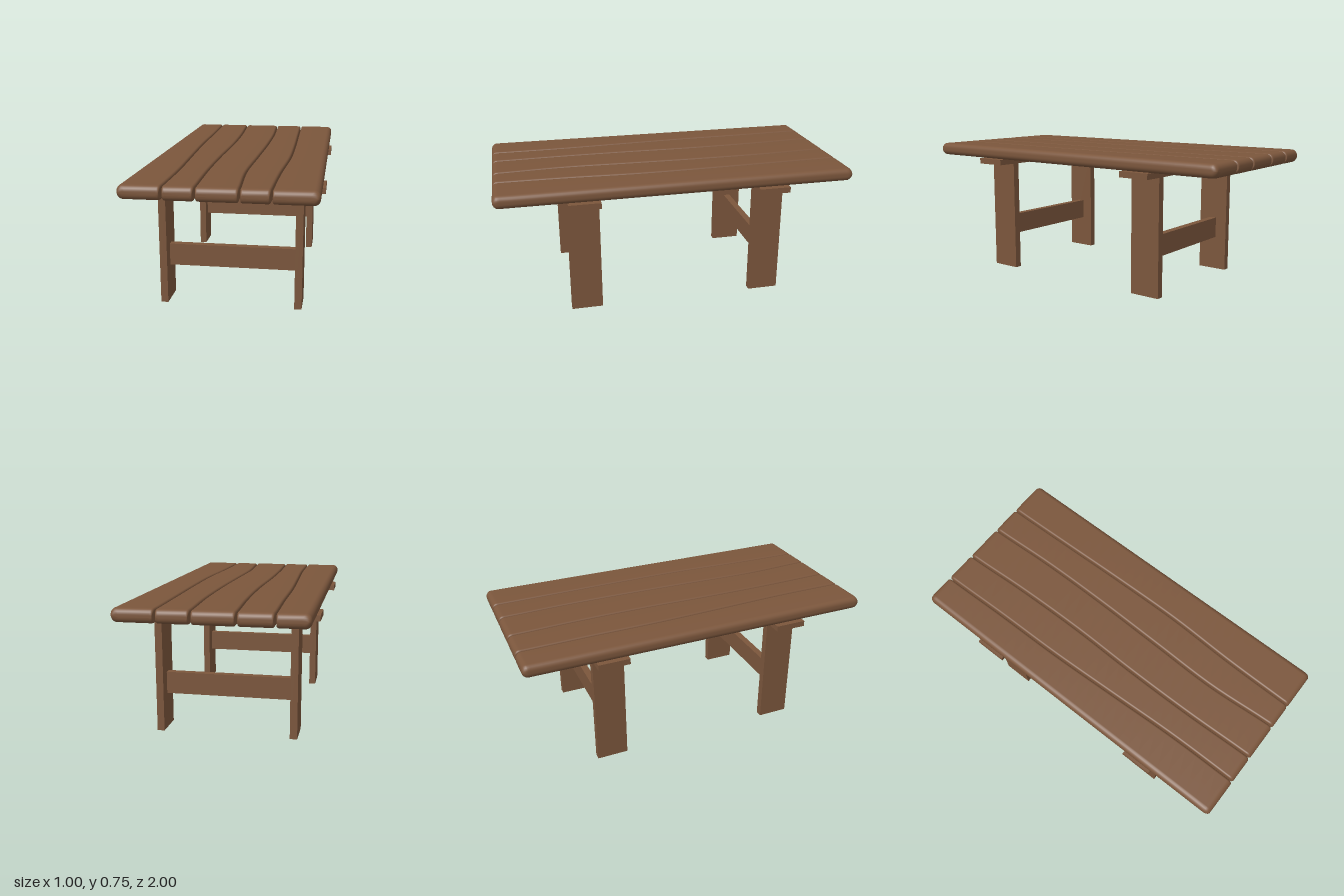
import * as THREE from 'three';

const TOP = 0.755, BOTTOM = 0.682, END_ROUND = 0.03, GAP = 0.004;
const wood = new THREE.MeshStandardMaterial({ color: 0x7b563c });

// A line along the table: x values evenly spaced from z = -1 to z = 1
const line = (...xs) => new THREE.SplineCurve(
  xs.map((x, i) => new THREE.Vector2(x, -1 + (2 * i) / (xs.length - 1))));
const xAt = (curve, z) => curve.getPoint((z + 1) / 2).x;

const seams = [
  line(-0.49, -0.49),
  line(-0.32, -0.31, -0.305, -0.289, -0.272, -0.27),
  line(-0.135, -0.116, -0.11, -0.119, -0.119, -0.108),
  line(0.09, 0.106, 0.106, 0.096, 0.086, 0.108),
  line(0.265, 0.273, 0.282, 0.284, 0.266, 0.26),
  line(0.488, 0.488),
];

// Rounded rectangle, counter-clockwise, with its own corner width on each side
function section(x0, x1, h, rLeft, rRight) {
  const steps = 6, points = [];
  const corners = [[1, -1], [1, 1], [-1, 1], [-1, -1]];
  corners.forEach(([sx, sy], q) => {
    const rx = sx > 0 ? rRight : rLeft, ry = Math.min(rx, h * 0.95);
    for (let k = 0; k <= steps; k++) {
      const a = (q - 1 + k / steps) * Math.PI / 2;
      points.push([
        (sx > 0 ? x1 - rx : x0 + rx) + rx * Math.cos(a),
        sy * (h - ry) + ry * Math.sin(a),
      ]);
    }
  });
  return points;
}

// Plank lofted between two seams, with rounded ends
function plankGeometry(left, right, rLeft, rRight) {
  const stations = [];
  for (let k = 0; k <= 6; k++) {
    const a = (k / 6) * Math.PI / 2;
    stations.push({ z: -1 + END_ROUND * (1 - Math.sin(a)), inset: 1 - Math.cos(a) });
  }
  stations.reverse();
  const ends = stations.map(({ z, inset }) => ({ z: -z, inset })).reverse();
  const middle = [];
  for (let k = 0; k <= 30; k++) {
    middle.push({ z: (-1 + 2 * k / 30) * (0.99 - END_ROUND), inset: 0 });
  }
  const startEnd = stations.slice().reverse(); // outermost first
  const all = [...startEnd, ...middle, ...ends.slice().reverse()]
    .sort((p, q) => p.z - q.z);

  const mid = (TOP + BOTTOM) / 2, half = (TOP - BOTTOM) / 2;
  const pos = [], index = [];
  let n = 0;
  for (const { z, inset } of all) {
    const pts = section(
      xAt(left, z) + rLeft * 0.6 * inset, xAt(right, z) - rRight * 0.6 * inset,
      half - END_ROUND * inset, rLeft, rRight);
    n = pts.length;
    pts.forEach(([x, y]) => pos.push(x, mid + y, z));
  }
  for (let i = 0; i < all.length - 1; i++) {
    for (let j = 0; j < n; j++) {
      const a = i * n + j, b = i * n + (j + 1) % n;
      index.push(a, b, b + n, a, b + n, a + n);
    }
  }
  const last = (all.length - 1) * n;
  for (let j = 1; j < n - 1; j++) {
    index.push(0, j + 1, j, last, last + j, last + j + 1);
  }
  const geo = new THREE.BufferGeometry();
  geo.setAttribute('position', new THREE.Float32BufferAttribute(pos, 3));
  geo.setIndex(index);
  geo.computeVertexNormals();
  return geo;
}

const shifted = (curve, dx) =>
  new THREE.SplineCurve(curve.points.map((p) => new THREE.Vector2(p.x + dx, p.y)));

function box(name, w, h, d, x, y, z) {
  const mesh = new THREE.Mesh(new THREE.BoxGeometry(w, h, d), wood);
  mesh.name = name;
  mesh.position.set(x, y, z);
  return mesh;
}

export function createModel() {
  const table = new THREE.Group();
  table.name = 'plankTable';

  // Table top: five planks with uneven seams
  const tableTop = new THREE.Group();
  tableTop.name = 'tableTop';
  for (let i = 0; i < 5; i++) {
    const first = i === 0, final = i === 4;
    const plank = new THREE.Mesh(plankGeometry(
      shifted(seams[i], first ? 0 : GAP), shifted(seams[i + 1], final ? 0 : -GAP),
      first ? 0.03 : 0.012, final ? 0.03 : 0.012), wood);
    plank.name = `plank${i + 1}`;
    tableTop.add(plank);
  }
  table.add(tableTop);

  // Two trestles: cleat under the planks, a pair of board legs, a stretcher
  for (const [side, z] of [['front', 0.53], ['back', -0.53]]) {
    const trestle = new THREE.Group();
    trestle.name = `${side}Trestle`;
    trestle.add(box('cleat', 1, 0.032, 0.176, 0, 0.666, z));
    trestle.add(box('leftLeg', 0.04, 0.65, 0.176, 0.37, 0.325, z));
    trestle.add(box('rightLeg', 0.04, 0.65, 0.176, -0.37, 0.325, z));
    trestle.add(box('stretcher', 0.7, 0.122, 0.04, 0, 0.259, z));
    table.add(trestle);
  }
  return table;
}
